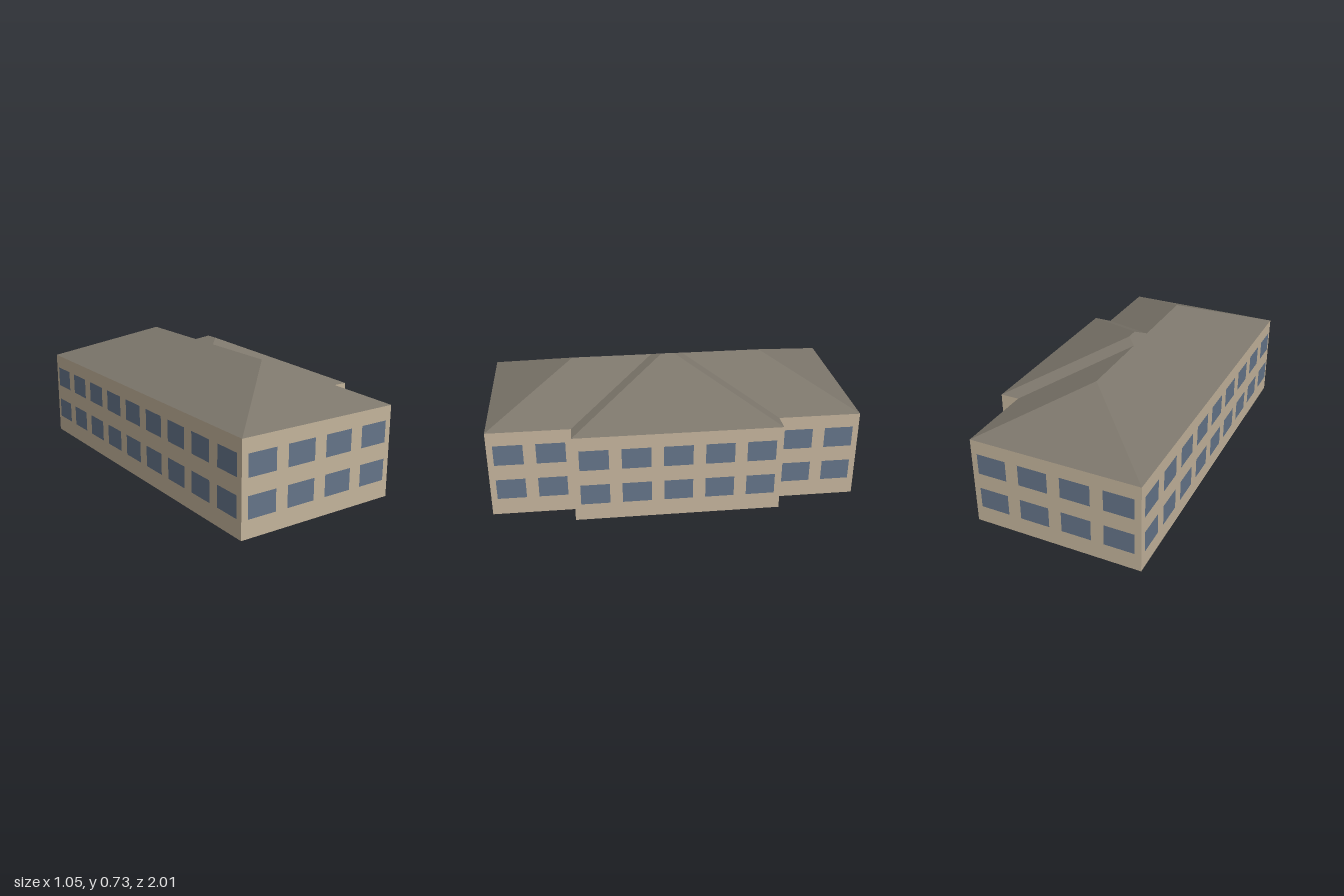
import * as THREE from 'three';

const EAVE = 0.497, PITCH = 0.44;          // wall height and roof slope
const LEFT = -0.52, MAIN = 0.415, WING = 0.52, WING_Z = 0.555;
const RIDGE_X = (LEFT + MAIN) / 2;         // main ridge line
const HIP_Z = 1 - (MAIN - RIDGE_X);        // end of the main ridge
const JOIN_Z = WING_Z - (MAIN - RIDGE_X);  // main ridge meets the wing roof
const TOP_Z = WING_Z - WING;               // half length of the wing ridge

const wallMat = new THREE.MeshStandardMaterial({ name: 'tan wall', color: 0xc3b39b, side: THREE.DoubleSide });
const roofMat = new THREE.MeshStandardMaterial({ name: 'grey brown roof', color: 0x7c766b, side: THREE.DoubleSide });
const glassMat = new THREE.MeshStandardMaterial({ name: 'blue grey glass', color: 0x647488 });

// Upright rectangle centred at (x, y, z), facing the given horizontal normal
function panel(name, w, h, x, y, z, nx, nz, mat) {
  const mesh = new THREE.Mesh(new THREE.PlaneGeometry(w, h), mat);
  mesh.name = name;
  mesh.position.set(x, y, z);
  mesh.rotation.y = Math.atan2(nx, nz);
  return mesh;
}

// Wall between two footprint corners with two rows of windows
function wall([x0, z0], [x1, z1], columns) {
  const group = new THREE.Group();
  group.name = 'wall';
  const len = Math.hypot(x1 - x0, z1 - z0);
  const nx = -(z1 - z0) / len, nz = (x1 - x0) / len;
  group.add(panel('wallPanel', len, EAVE, (x0 + x1) / 2, EAVE / 2, (z0 + z1) / 2, nx, nz, wallMat));
  for (let i = 0; i < columns; i++) {
    const t = (i + 0.5) / columns;
    const x = x0 + (x1 - x0) * t + nx * 0.003, z = z0 + (z1 - z0) * t + nz * 0.003;
    for (const y of [0.157, 0.363]) {
      group.add(panel('window', 0.7 * len / columns, 0.117, x, y, z, nx, nz, glassMat));
    }
  }
  return group;
}

// Flat roof slope from plan points [x, z, distance in from the eave]
function slope(name, points) {
  const plan = points.map(([x, z]) => new THREE.Vector2(x, z));
  const pos = [];
  for (const [a, b, c] of THREE.ShapeUtils.triangulateShape(plan, [])) {
    const up = THREE.ShapeUtils.area([plan[a], plan[b], plan[c]]) < 0;
    for (const i of up ? [a, b, c] : [a, c, b]) {
      const [x, z, d] = points[i];
      pos.push(x, EAVE + d * PITCH, z);
    }
  }
  const geo = new THREE.BufferGeometry();
  geo.setAttribute('position', new THREE.Float32BufferAttribute(pos, 3));
  geo.computeVertexNormals();
  const mesh = new THREE.Mesh(geo, roofMat);
  mesh.name = name;
  return mesh;
}

export function createModel() {
  const model = new THREE.Group();
  model.name = 'house';

  // Walls round the footprint: corner and window columns of the wall that follows
  const corners = [
    [LEFT, 1, 4], [MAIN, 1, 2], [MAIN, WING_Z, 0], [WING, WING_Z, 5],
    [WING, -WING_Z, 0], [MAIN, -WING_Z, 2], [MAIN, -1, 4], [LEFT, -1, 9],
  ];
  corners.forEach((c, i) => model.add(wall(c, corners[(i + 1) % corners.length], c[2])));

  // Roof
  const roof = new THREE.Group();
  roof.name = 'roof';
  const rise = MAIN - RIDGE_X;
  roof.add(slope('longSlope', [
    [LEFT, -1, 0], [LEFT, 1, 0], [RIDGE_X, HIP_Z, rise], [RIDGE_X, JOIN_Z, rise],
    [0, TOP_Z, WING], [0, -TOP_Z, WING], [RIDGE_X, -JOIN_Z, rise], [RIDGE_X, -HIP_Z, rise],
  ]));
  roof.add(slope('wingSlope', [
    [WING, WING_Z, 0], [WING, -WING_Z, 0], [0, -TOP_Z, WING], [0, TOP_Z, WING],
  ]));
  for (const s of [1, -1]) {
    roof.add(slope('endHip', [[LEFT, s, 0], [MAIN, s, 0], [RIDGE_X, s * HIP_Z, rise]]));
    roof.add(slope('mainSlope', [
      [MAIN, s, 0], [MAIN, s * WING_Z, 0], [RIDGE_X, s * JOIN_Z, rise], [RIDGE_X, s * HIP_Z, rise],
    ]));
    roof.add(slope('wingHip', [
      [MAIN, s * WING_Z, 0], [WING, s * WING_Z, 0], [0, s * TOP_Z, WING], [RIDGE_X, s * JOIN_Z, rise],
    ]));
  }
  model.add(roof);
  return model;
}
